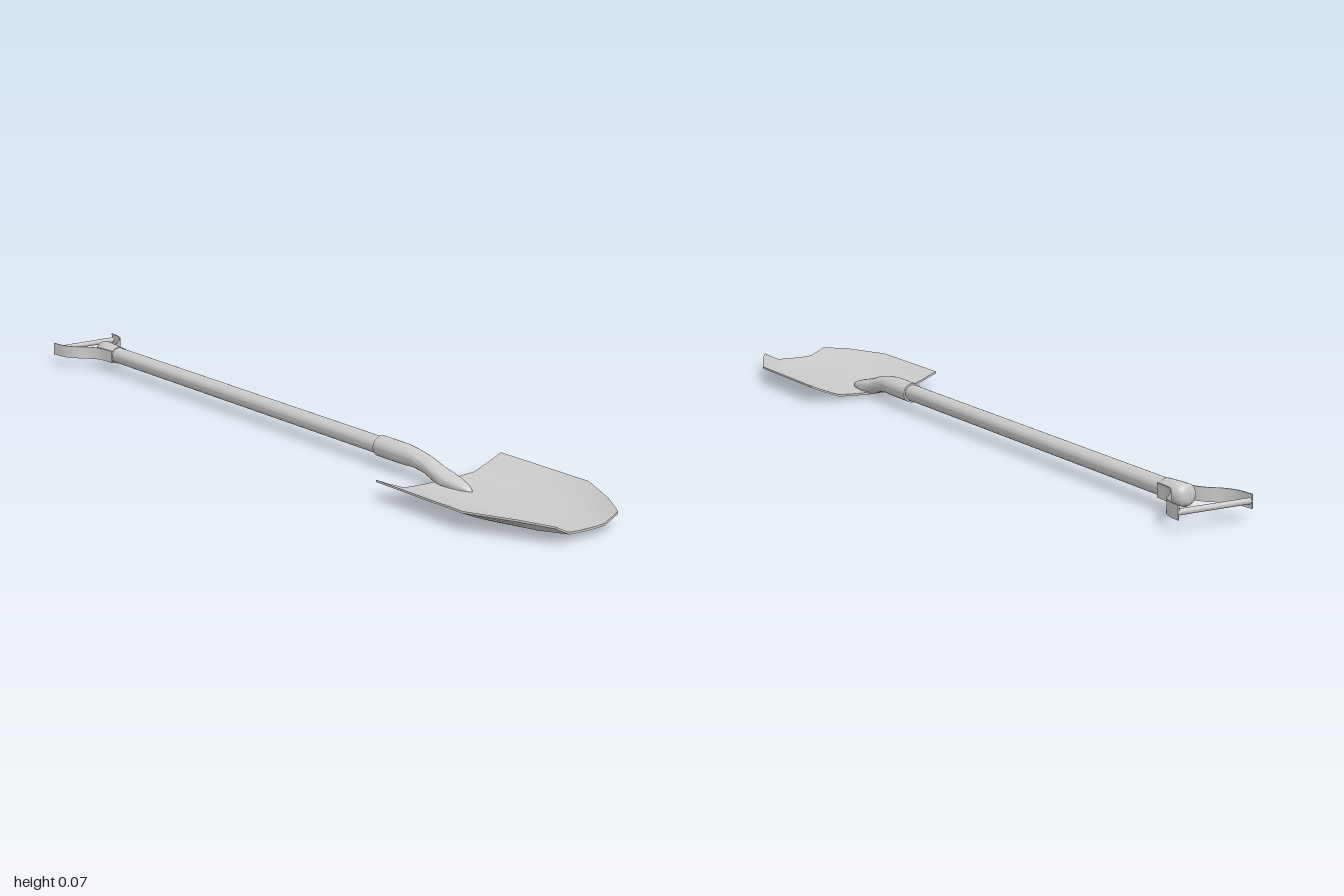
import * as THREE from 'three';
import { toCreasedNormals } from 'three/addons/utils/BufferGeometryUtils.js';

const material = new THREE.MeshStandardMaterial({ color: 0xcccccc });

// Skin through equal-sized rings of points, capped at both ends
function loft(rings, crease = 0.7) {
  const n = rings[0].length, last = (rings.length - 1) * n, index = [];
  for (let r = 0; r < last; r += n) {
    for (let i = 0; i < n; i++) {
      const j = (i + 1) % n;
      index.push(r + i, r + j, r + n + j, r + i, r + n + j, r + n + i);
    }
  }
  for (let i = 0; i < n / 2 - 1; i++) {
    const a = i, b = i + 1, c = n - 2 - i, d = n - 1 - i;
    index.push(a, c, b, a, d, c);
    index.push(last + a, last + b, last + c, last + a, last + c, last + d);
  }
  const geometry = new THREE.BufferGeometry();
  geometry.setAttribute('position', new THREE.Float32BufferAttribute(rings.flat(2), 3));
  geometry.setIndex(index);
  return toCreasedNormals(geometry, crease);
}

function add(group, name, geometry) {
  const mesh = new THREE.Mesh(geometry, material);
  mesh.name = name;
  group.add(mesh);
  return mesh;
}

// Round ring standing upright at z
function circle(z, y, rx, ry = rx, n = 24) {
  return Array.from({ length: n }, (_, i) => {
    const a = (i / n) * Math.PI * 2;
    return [Math.cos(a) * rx, y + Math.sin(a) * ry, z];
  });
}

// Dished blade: stations of [z, half width, middle height, edge height]
function bladeGeometry() {
  const thickness = 0.005;
  const half = [[0.25, 0], [0.56, 0.07], [0.8, 0.55], [1, 1]];
  const section = [...half.map(([t, h]) => [-t, h]).reverse(), [0, 0], ...half];
  const stations = [
    [0.52, 0.185, 0.008, 0.043],
    [0.66, 0.185, 0.008, 0.043],
    [0.81, 0.185, 0.008, 0.043],
    [0.93, 0.13, 0.011, 0.043],
    [1.0, 0.09, 0.017, 0.038],
  ];
  return loft(stations.map(([z, w, y0, y1]) => {
    const bottom = section.map(([t, h]) => [t * w, y0 + (y1 - y0) * h, z]);
    const top = bottom.map(([x, y]) => [x, y + thickness, z]).reverse();
    return [...bottom, ...top];
  }));
}

// Socket: stations of [z, centre height, half width, half height]
function socketGeometry() {
  const stations = [
    [0.31, 0.048, 0.026, 0.025],
    [0.4, 0.048, 0.026, 0.025],
    [0.44, 0.047, 0.022, 0.022],
    [0.48, 0.041, 0.021, 0.021],
    [0.52, 0.028, 0.023, 0.021],
    [0.55, 0.021, 0.025, 0.021],
    [0.58, 0.018, 0.022, 0.017],
    [0.61, 0.015, 0.014, 0.011],
    [0.625, 0.014, 0.007, 0.006],
    [0.632, 0.013, 0.001, 0.001],
  ];
  return loft(stations.map((s) => circle(...s)));
}

// Flat strap following a curve in plan, bulging out from the collar to the grip
function strapGeometry(side) {
  const points = [[0.022, -0.82], [0.027, -0.87], [0.045, -0.902], [0.07, -0.925],
    [0.088, -0.955], [0.094, -1.0]];
  const curve = new THREE.CatmullRomCurve3(
    points.map(([x, z]) => new THREE.Vector3(x * side, 0.046, z)));
  const up = new THREE.Vector3(0, 1, 0);
  const rings = [];
  for (let i = 0; i <= 20; i++) {
    const p = curve.getPoint(i / 20);
    const s = up.clone().cross(curve.getTangent(i / 20)).normalize();
    rings.push([[-1, -1], [1, -1], [1, 1], [-1, 1]].map(([u, v]) =>
      [p.x + s.x * u * 0.0015, p.y + v * 0.016, p.z + s.z * u * 0.0015]));
  }
  return loft(rings, 0.6);
}

export function createModel() {
  const model = new THREE.Group();
  model.name = 'shovel';

  add(model, 'blade', bladeGeometry());
  add(model, 'socket', socketGeometry());
  add(model, 'shaft', loft([circle(-0.89, 0.048, 0.021), circle(0.33, 0.048, 0.021)]));

  // Handle: collar with a slightly domed end, two straps and a cross grip
  const handle = new THREE.Group();
  handle.name = 'handle';
  model.add(handle);
  add(handle, 'collar', loft([
    circle(-0.903, 0.048, 0.012), circle(-0.899, 0.048, 0.022),
    circle(-0.892, 0.048, 0.026), circle(-0.86, 0.048, 0.025), circle(-0.82, 0.048, 0.0225),
  ]));
  for (const side of [1, -1]) {
    add(handle, side > 0 ? 'leftStrap' : 'rightStrap', strapGeometry(side));
  }
  const grip = add(handle, 'grip', new THREE.CylinderGeometry(0.007, 0.007, 0.188, 16));
  grip.rotation.z = Math.PI / 2;
  grip.position.set(0, 0.046, -0.993);

  return model;
}
